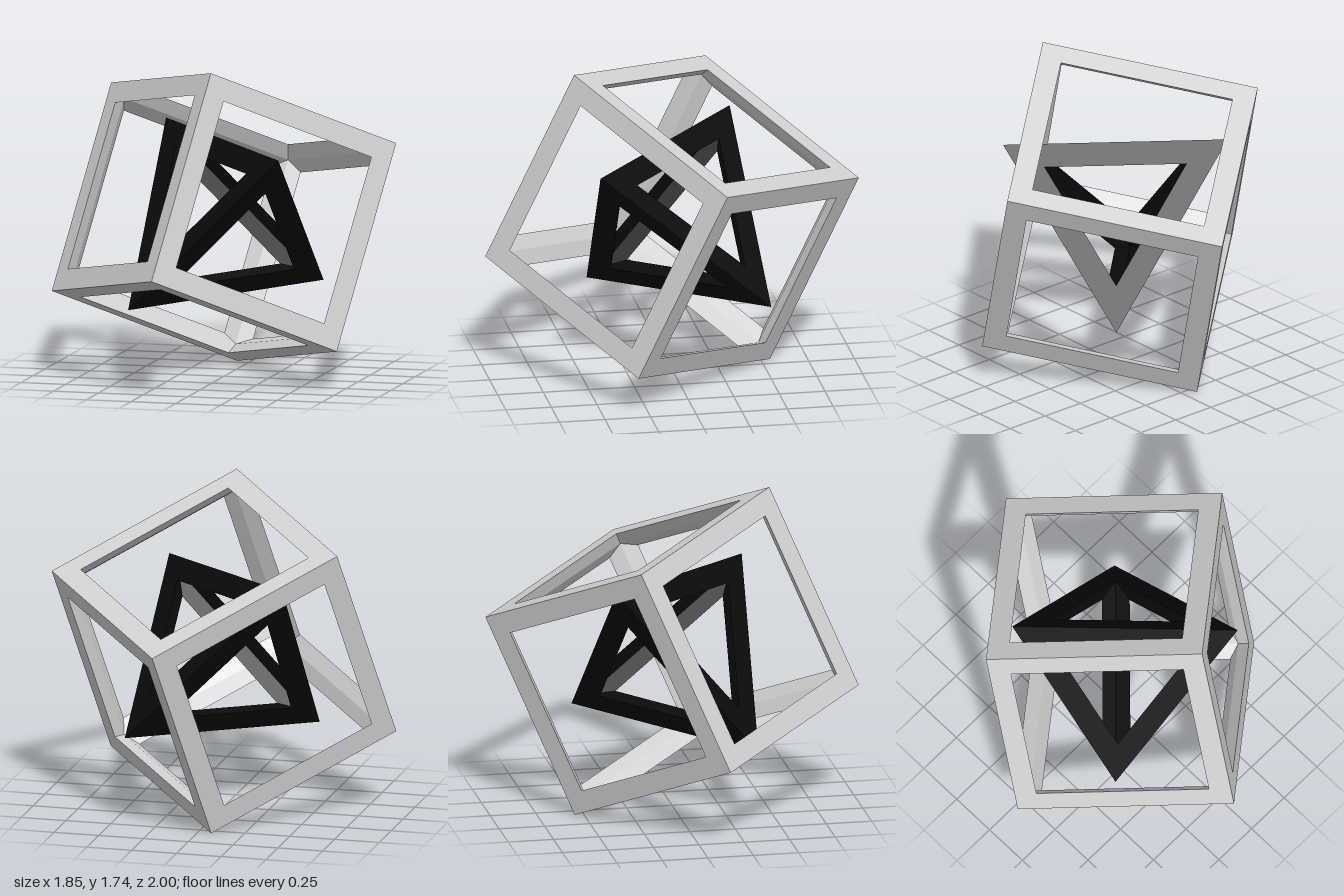
import * as THREE from 'three';

const vec = (x, y, z) => new THREE.Vector3(x, y, z);

// Open frame of a convex solid centred on the origin: every edge becomes a bar with a
// four-sided section (outer edge, an inset line on both faces, and an inner ridge).
function frameGeometry(corners, faces, inset, depth) {
  const positions = [];
  const quad = (a, b, c, d) => {
    for (const p of [a, b, c, a, c, d]) positions.push(p.x, p.y, p.z);
  };
  const inner = corners.map(p => p.clone().setLength(p.length() - depth));
  for (const face of faces) {
    const n = face.length;
    // inset corners lie on the face, at an equal distance from both edges
    const rim = face.map((id, i) => {
      const p = corners[id];
      const next = corners[face[(i + 1) % n]].clone().sub(p).normalize();
      const prev = corners[face[(i + n - 1) % n]].clone().sub(p).normalize();
      const sine = next.clone().cross(prev).length();
      return next.add(prev).multiplyScalar(inset / sine).add(p);
    });
    for (let i = 0; i < n; i++) {
      const j = (i + 1) % n;
      quad(corners[face[i]], corners[face[j]], rim[j], rim[i]);
      quad(rim[i], rim[j], inner[face[j]], inner[face[i]]);
    }
  }
  const geometry = new THREE.BufferGeometry();
  geometry.setAttribute('position', new THREE.Float32BufferAttribute(positions, 3));
  geometry.computeVertexNormals();
  return geometry;
}

export function createModel() {
  const group = new THREE.Group();
  group.name = 'nestedFrames';
  const lightGrey = new THREE.MeshStandardMaterial({ color: 0xd2d2d2, flatShading: true });
  lightGrey.name = 'light grey';
  const black = new THREE.MeshStandardMaterial({ color: 0x0a0a0a, flatShading: true });
  black.name = 'black';

  const add = (name, geometry, material) => {
    const mesh = new THREE.Mesh(geometry, material);
    mesh.name = name;
    mesh.position.y = 0.87;
    group.add(mesh);
  };

  // Tilted cube: half-edge vectors along its three axes
  const u = vec(-0.395, -0.105, -0.43);
  const v = vec(0.425, -0.225, -0.345);
  const w = vec(-0.105, -0.54, 0.225);
  const cubeCorners = [];
  for (let i = 0; i < 8; i++) {
    cubeCorners.push(vec(0, 0, 0)
      .addScaledVector(u, i & 1 ? 1 : -1)
      .addScaledVector(v, i & 2 ? 1 : -1)
      .addScaledVector(w, i & 4 ? 1 : -1));
  }
  const cubeFaces = [[4, 5, 7, 6], [0, 2, 3, 1], [1, 3, 7, 5], [0, 4, 6, 2], [2, 6, 7, 3], [0, 1, 5, 4]];
  add('cubeFrame', frameGeometry(cubeCorners, cubeFaces, 0.12, 0.12), lightGrey);

  // Tetrahedron floating inside the cube
  const tetraCorners = [
    vec(-0.43, 0.468, -0.392), vec(0.43, 0.395, 0.468),
    vec(0.43, -0.395, -0.468), vec(-0.43, -0.468, 0.392),
  ];
  const tetraFaces = [[0, 3, 1], [0, 1, 2], [0, 2, 3], [1, 3, 2]];
  add('tetrahedronFrame', frameGeometry(tetraCorners, tetraFaces, 0.13, 0.13), black);

  return group;
}
